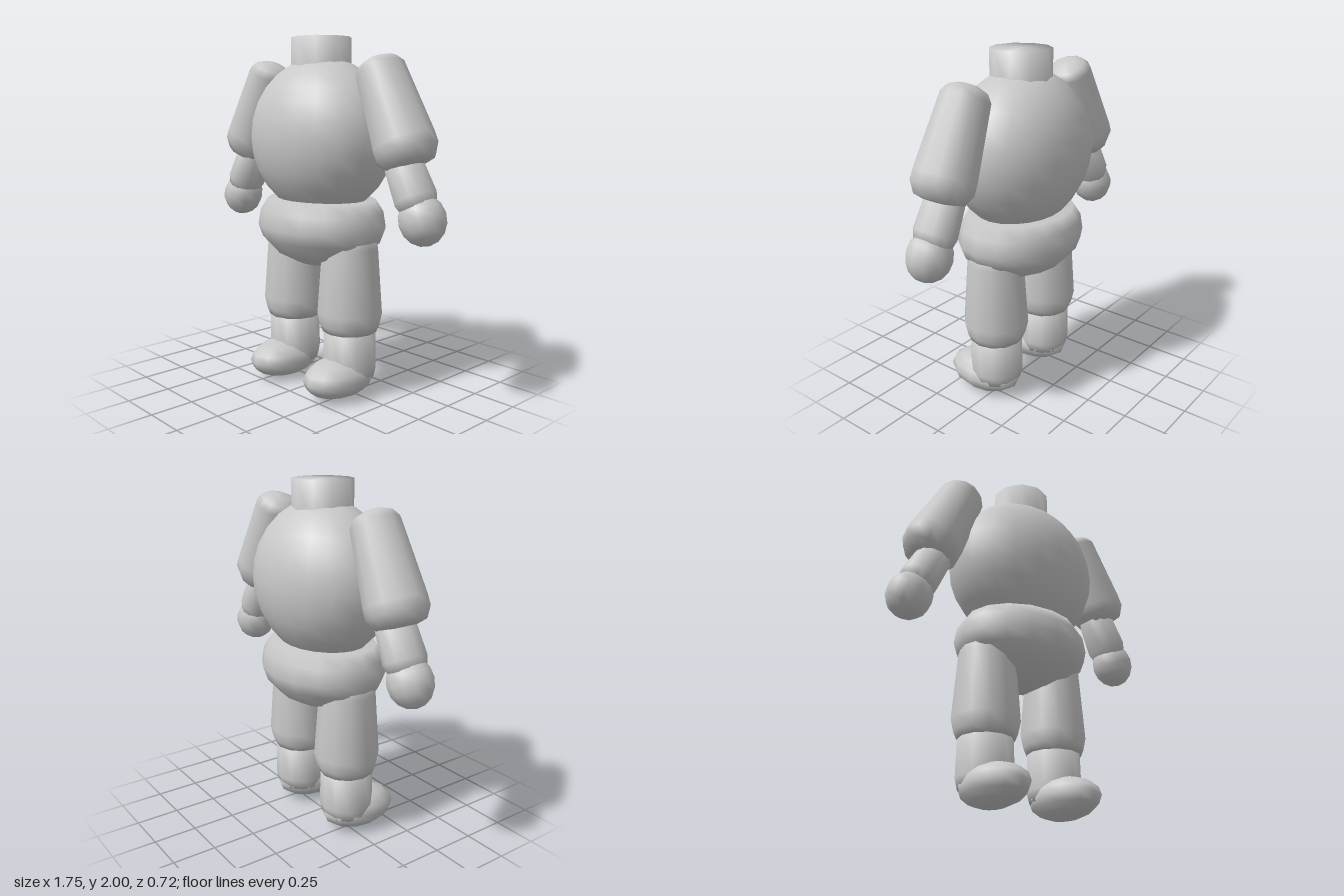
import * as THREE from 'three';

const grey = new THREE.MeshStandardMaterial({ color: 0xc8c8c8 });
grey.name = 'light grey';

// Smooth round part; the profile lists [radius, height] from bottom to top
function turned(name, profile, segments) {
  const points = profile.map(([r, y]) => new THREE.Vector2(r, y));
  const mesh = new THREE.Mesh(new THREE.LatheGeometry(points, segments), grey);
  mesh.name = name;
  return mesh;
}

function ellipsoid(name, radii, centre, across, down) {
  const mesh = new THREE.Mesh(new THREE.SphereGeometry(1, across, down), grey);
  mesh.name = name;
  mesh.scale.set(...radii);
  mesh.position.set(...centre);
  return mesh;
}

// One arm; side is +1 for the left and -1 for the right
function arm(side) {
  const group = new THREE.Group();
  group.name = side > 0 ? 'leftArm' : 'rightArm';

  const upperArm = turned('upperArm', [
    [0, -0.54], [0.08, -0.535], [0.135, -0.52], [0.168, -0.46], [0.168, -0.404],
    [0.133, 0], [0.105, 0.04], [0.055, 0.062], [0, 0.068],
  ], 12);
  upperArm.position.set(0.446 * side, 1.81, 0);
  upperArm.rotation.z = side * 0.43;

  const forearm = turned('forearm', [
    [0, -0.3], [0.09, -0.29], [0.11, -0.22], [0.098, 0], [0, 0.02],
  ], 12);
  forearm.position.set(0.6 * side, 1.36, 0);
  forearm.rotation.z = side * 0.47;
  forearm.scale.z = 1.1;

  const hand = ellipsoid('hand', [0.127, 0.137, 0.122], [0.746 * side, 1.06, 0], 12, 8);
  hand.rotation.z = side * 0.4;

  group.add(upperArm, forearm, hand);
  return group;
}

function leg(side) {
  const group = new THREE.Group();
  group.name = side > 0 ? 'leftLeg' : 'rightLeg';

  const thigh = turned('thigh', [
    [0, 0.37], [0.155, 0.37], [0.172, 0.41], [0.187, 0.48], [0.16, 0.85], [0.13, 0.94], [0, 0.96],
  ], 12);
  const shin = turned('shin', [[0, 0.09], [0.14, 0.1], [0.154, 0.16], [0.15, 0.4], [0, 0.4]], 12);
  thigh.position.x = shin.position.x = 0.235 * side;

  const foot = ellipsoid('foot', [0.158, 0.114, 0.235], [0.237 * side, 0.114, 0.082], 12, 8);

  group.add(thigh, shin, foot);
  return group;
}

export function createModel() {
  const model = new THREE.Group();
  model.name = 'headlessFigure';

  // Neck stump and round torso
  model.add(turned('neck', [[0.17, 1.75], [0.17, 2], [0, 2]], 10));
  model.add(ellipsoid('torso', [0.462, 0.445, 0.36], [0, 1.45, 0], 20, 14));

  // Bowl-shaped pelvis with a flat rim
  const pelvis = turned('pelvis', [
    [0, 0.7], [0.38, 0.73], [0.72, 0.79], [0.93, 0.87], [1, 0.94], [0.96, 1.03], [0.84, 1.1], [0, 1.1],
  ], 16);
  pelvis.scale.set(0.408, 1, 0.332);
  model.add(pelvis);

  for (const side of [1, -1]) model.add(arm(side), leg(side));
  return model;
}
